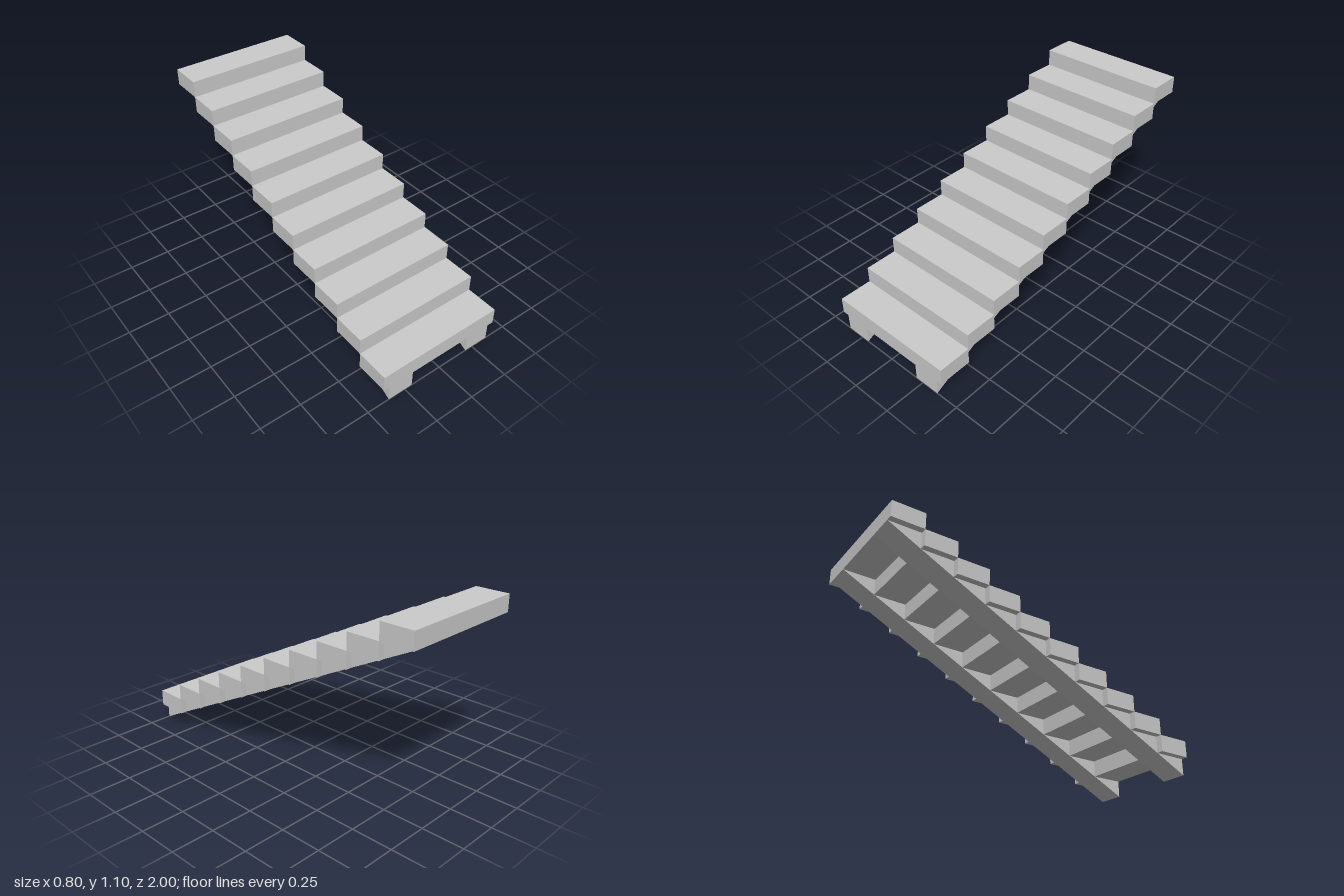
import * as THREE from 'three';

const STEPS = 10, RISE = 0.1, RUN = 0.2, WIDTH = 0.8;
const STRINGER_INNER = 0.2, STRINGER_WIDTH = 0.16;

export function createModel() {
  const group = new THREE.Group();
  group.name = 'staircase';
  const material = new THREE.MeshStandardMaterial({ color: 0xcccccc, flatShading: true });

  const treadGeometry = new THREE.BoxGeometry(WIDTH, RISE, RUN);

  // Wedge between the sloping underside and one tread, extruded across x
  const profile = new THREE.Shape([
    new THREE.Vector2(0, 0),
    new THREE.Vector2(RUN, RISE),
    new THREE.Vector2(0, RISE),
  ]);
  const wedgeGeometry = new THREE.ExtrudeGeometry(profile, { depth: STRINGER_WIDTH, bevelEnabled: false });
  wedgeGeometry.rotateY(Math.PI / 2);
  wedgeGeometry.translate(-STRINGER_WIDTH / 2, 0, 0);

  // Treads climb towards the back
  for (let i = 0; i < STEPS; i++) {
    const tread = new THREE.Mesh(treadGeometry, material);
    tread.name = `tread${i + 1}`;
    tread.position.set(0, (i + 1.5) * RISE, 1 - (i + 0.5) * RUN);
    group.add(tread);
  }

  // Two saw-tooth stringers carry the treads
  for (const [name, side] of [['leftStringer', 1], ['rightStringer', -1]]) {
    const stringer = new THREE.Group();
    stringer.name = name;
    stringer.position.x = side * (STRINGER_INNER + STRINGER_WIDTH / 2);
    for (let i = 0; i < STEPS; i++) {
      const wedge = new THREE.Mesh(wedgeGeometry, material);
      wedge.name = `stringerWedge${i + 1}`;
      wedge.position.set(0, i * RISE, 1 - i * RUN);
      stringer.add(wedge);
    }
    group.add(stringer);
  }
  return group;
}
